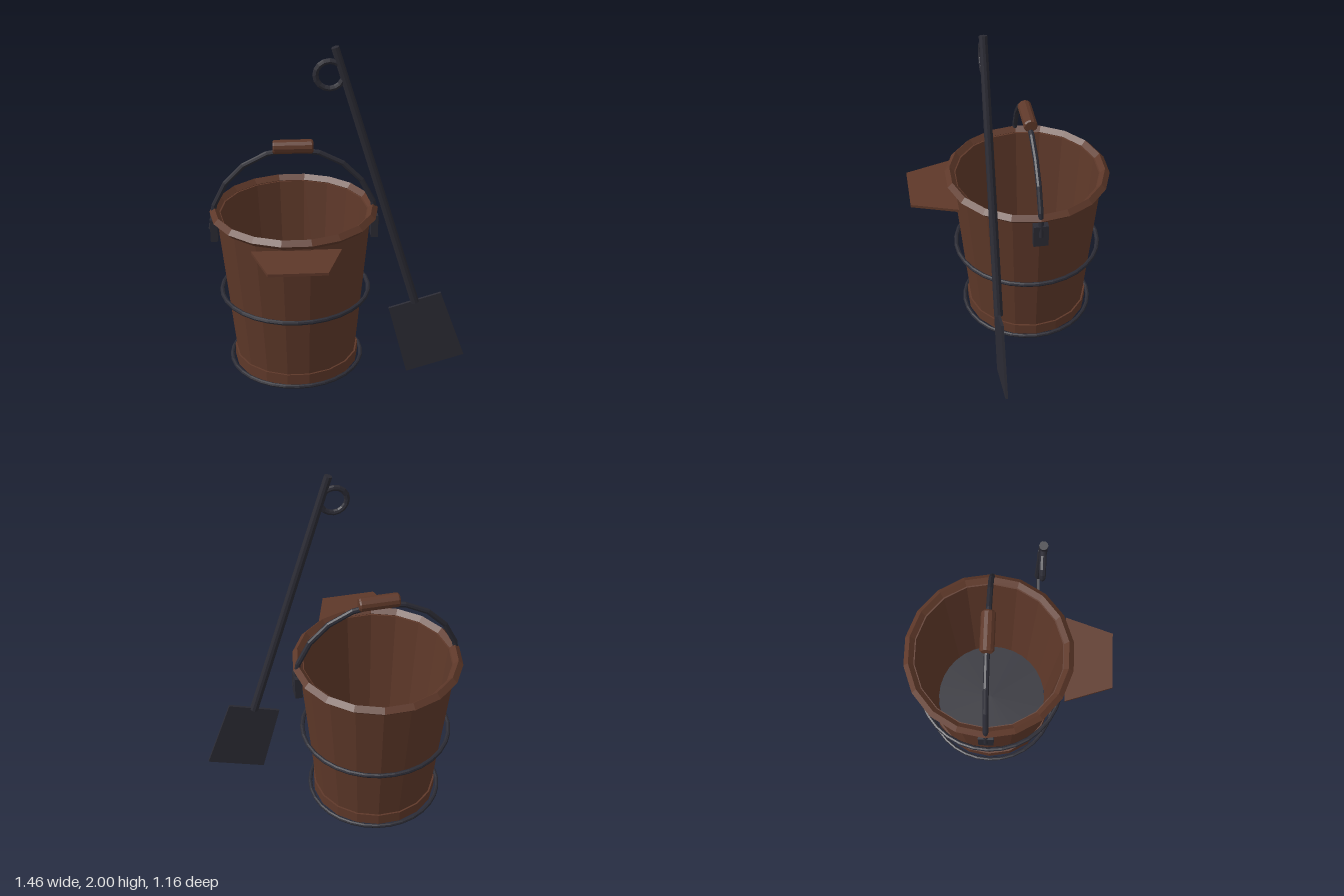
import * as THREE from 'three';

export function createModel() {
  const wood = new THREE.MeshStandardMaterial({ color: 0x5e3829, flatShading: true });
  wood.name = 'brown';
  const metal = new THREE.MeshStandardMaterial({ color: 0x2b2b34, flatShading: true });
  metal.name = 'dark iron';

  const model = new THREE.Group();
  model.name = 'bucketAndShovel';
  const add = (parent, name, geometry, material, x = 0, y = 0, z = 0) => {
    const mesh = new THREE.Mesh(geometry, material);
    mesh.name = name;
    mesh.position.set(x, y, z);
    parent.add(mesh);
    return mesh;
  };
  // Horizontal ring around the bucket
  const ring = (name, radius, tube, sides, segments, material, y) => {
    const geometry = new THREE.TorusGeometry(radius, tube, sides, segments).rotateX(Math.PI / 2);
    return add(bucket, name, geometry, material, 0, y, 0);
  };
  // Flat plate cut from an outline, centred on its own thickness
  const plate = (points, thickness) => {
    const shape = new THREE.Shape(points.map(([x, y]) => new THREE.Vector2(x, y)));
    return new THREE.ExtrudeGeometry(shape, { depth: thickness, bevelEnabled: false })
      .translate(0, 0, -thickness / 2);
  };

  const bucket = new THREE.Group();
  bucket.name = 'bucket';
  bucket.position.set(-0.24, 0, -0.11);
  model.add(bucket);

  // Tapered wall: underside, base band, outside, then back down the inside
  const profile = [
    [0, 0.01], [0.366, 0.01], [0.366, 0.078], [0.356, 0.078],
    [0.443, 0.955], [0.418, 0.955], [0.335, 0.06],
  ].map(([r, y]) => new THREE.Vector2(r, y));
  add(bucket, 'bucketWall', new THREE.LatheGeometry(profile, 18).rotateY(Math.PI / 2), wood);
  add(bucket, 'innerFloor', new THREE.CylinderGeometry(0.332, 0.332, 0.02, 32), metal, 0, 0.07, 0);
  ring('rim', 0.452, 0.028, 4, 18, wood, 0.96);
  ring('middleHoop', 0.428, 0.013, 8, 32, metal, 0.463);
  ring('baseHoop', 0.386, 0.012, 8, 32, metal, 0.015);

  // Pouring ledge in front
  const ledge = plate([[-0.245, -0.427], [-0.158, -0.692], [0.158, -0.692], [0.245, -0.427]], 0.016)
    .rotateX(-Math.PI / 2);
  add(bucket, 'frontLedge', ledge, wood, 0, 0.91, 0);

  // Carrying handle
  for (const side of [-1, 1]) {
    add(bucket, side > 0 ? 'leftEar' : 'rightEar',
      new THREE.BoxGeometry(0.042, 0.135, 0.085), metal, side * 0.458, 0.857, 0);
  }
  add(bucket, 'bail', new THREE.TorusGeometry(0.474, 0.016, 8, 10, Math.PI), metal, 0, 0.855, 0);
  const grip = new THREE.LatheGeometry(
    [[0, -0.113], [0.033, -0.113], [0.04, -0.104], [0.04, 0.104], [0.033, 0.113], [0, 0.113]]
      .map(([r, y]) => new THREE.Vector2(r, y)), 12).rotateZ(Math.PI / 2);
  add(bucket, 'grip', grip, wood, 0, 1.345, 0);

  // Leaning shovel
  const shovel = new THREE.Group();
  shovel.name = 'shovel';
  shovel.position.z = 0.16;
  model.add(shovel);
  const top = new THREE.Vector2(-0.022, 1.992);
  const end = new THREE.Vector2(0.432, 0.485);
  const run = top.clone().sub(end);
  const shaft = add(shovel, 'shaft', new THREE.CylinderGeometry(0.022, 0.025, run.length(), 10), metal,
    (top.x + end.x) / 2, (top.y + end.y) / 2, 0);
  shaft.rotation.z = Math.atan2(-run.x, run.y);
  add(shovel, 'hangingRing', new THREE.TorusGeometry(0.074, 0.016, 8, 16), metal, -0.05, 1.845, 0);
  add(shovel, 'blade',
    plate([[0.282, 0.451], [0.393, 0.024], [0.728, 0.126], [0.578, 0.541]], 0.015), metal);

  return model;
}
